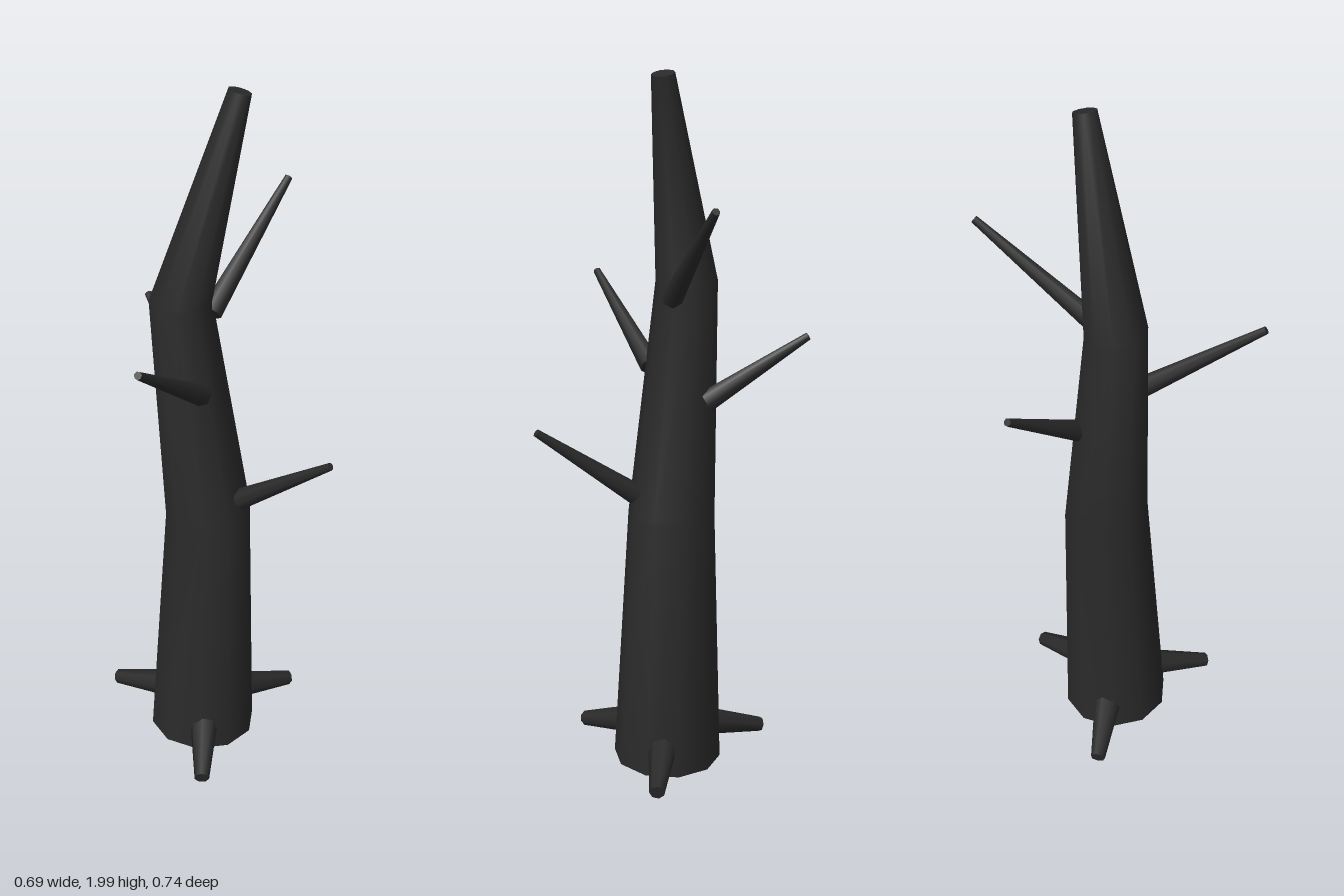
import * as THREE from 'three';
import { toCreasedNormals } from 'three/addons/utils/BufferGeometryUtils.js';

const UP = new THREE.Vector3(0, 1, 0);
const V = (p) => new THREE.Vector3(...p);

// Bent, tapering trunk: rows of a unit cylinder moved onto rings along a bent centre line
function trunkGeometry(rings, sides) {
  const last = rings.length - 1;
  const centres = rings.map((r) => V(r));
  const turns = centres.map((c, i) => {
    const dir = new THREE.Vector3();
    if (i > 0) dir.add(c.clone().sub(centres[i - 1]).normalize());
    if (i < last) dir.add(centres[i + 1].clone().sub(c).normalize());
    return new THREE.Quaternion().setFromUnitVectors(UP, dir.normalize());
  });
  const geo = new THREE.CylinderGeometry(1, 1, 1, sides, last);
  const pos = geo.attributes.position;
  const v = new THREE.Vector3();
  for (let i = 0; i < pos.count; i++) {
    v.fromBufferAttribute(pos, i);
    const k = Math.round((v.y + 0.5) * last);
    v.setY(0).multiplyScalar(rings[k][3]).applyQuaternion(turns[k]).add(centres[k]);
    pos.setXYZ(i, v.x, v.y, v.z);
  }
  return toCreasedNormals(geo, 0.9);
}

// Straight tapering limb from point a to point b
function limb(name, a, b, rA, rB, sides, material) {
  const start = V(a), end = V(b);
  const dir = end.clone().sub(start);
  const mesh = new THREE.Mesh(new THREE.CylinderGeometry(rB, rA, dir.length(), sides), material);
  mesh.name = name;
  mesh.position.copy(start).add(end).multiplyScalar(0.5);
  mesh.quaternion.setFromUnitVectors(UP, dir.normalize());
  return mesh;
}

export function createModel() {
  const model = new THREE.Group();
  model.name = 'deadTree';
  const bark = new THREE.MeshStandardMaterial({ color: 0x2a2a2a });
  bark.name = 'charredBark';

  // Trunk rings: x, y, z, radius
  const trunk = new THREE.Mesh(trunkGeometry([
    [-0.025, 0.01, 0.028, 0.157],
    [0.002, 0.765, 0.012, 0.123],
    [-0.062, 1.425, -0.025, 0.087],
    [0.085, 1.99, 0.025, 0.032],
  ], 10), bark);
  trunk.name = 'trunk';
  model.add(trunk);

  // Bare branches: start, tip
  const branches = new THREE.Group();
  branches.name = 'branches';
  [
    [[0.012, 1.385, 0.008], [0.335, 1.662, -0.132]],
    [[-0.055, 1.182, 0.075], [-0.338, 1.405, 0.265]],
    [[0.052, 0.835, 0.11], [0.18, 1.04, 0.364]],
    [[0.02, 1.1, -0.09], [0.014, 1.288, -0.366]],
  ].forEach(([a, b], i) => branches.add(limb('branch' + (i + 1), a, b, 0.031, 0.011, 7, bark)));
  model.add(branches);

  // Short roots sloping down to the ground
  const roots = new THREE.Group();
  roots.name = 'roots';
  [
    [[0.09, 0.09, 0.028], [0.287, 0.038, 0.026]],
    [[-0.08, 0.09, -0.075], [-0.182, 0.038, -0.242]],
    [[-0.075, 0.09, 0.125], [-0.177, 0.038, 0.296]],
  ].forEach(([a, b], i) => roots.add(limb('root' + (i + 1), a, b, 0.043, 0.022, 7, bark)));
  model.add(roots);

  return model;
}
